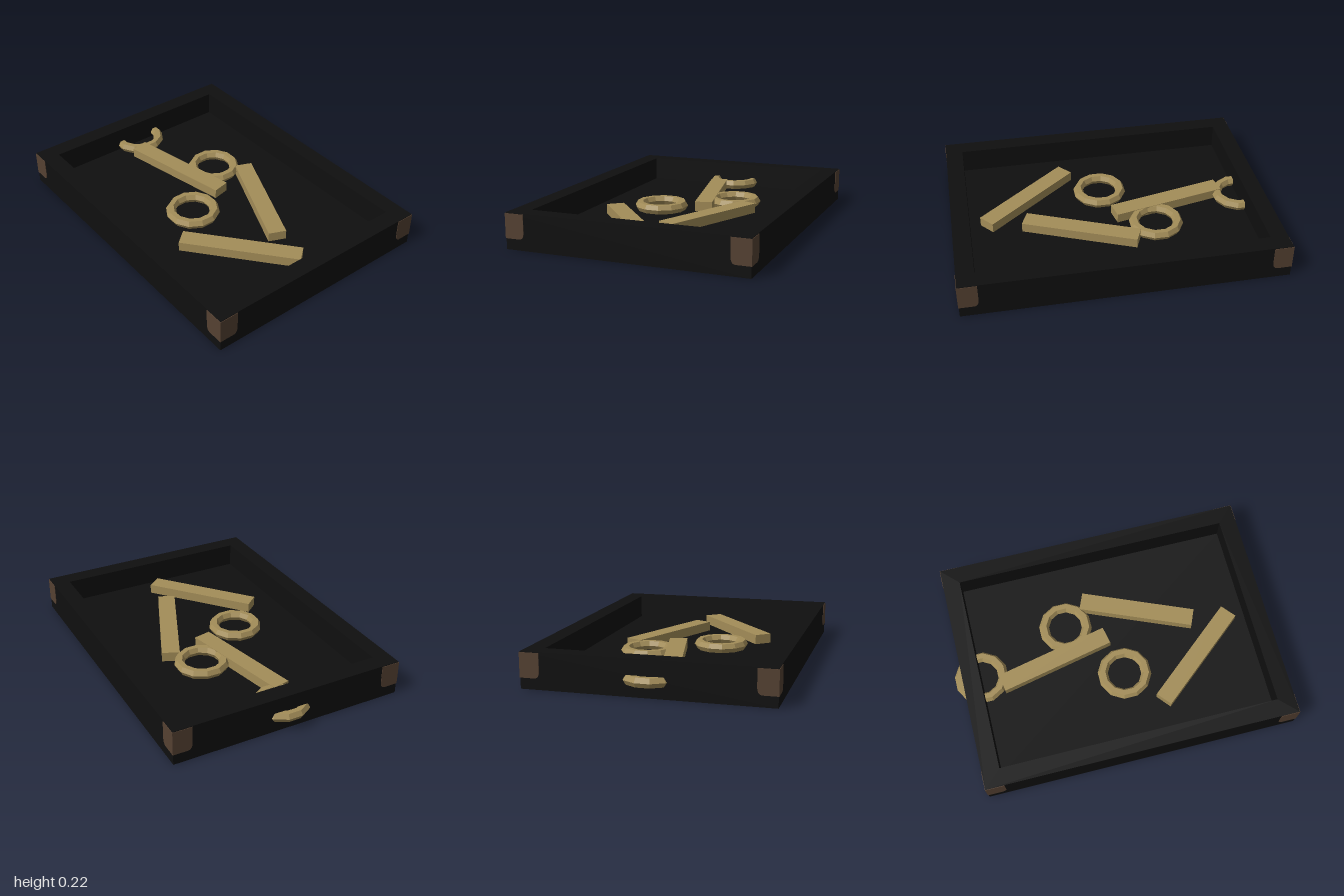
import * as THREE from 'three';

const black = new THREE.MeshStandardMaterial({ name: 'black lacquer', color: 0x0f0f0f });
const brown = new THREE.MeshStandardMaterial({ name: 'brown corner', color: 0x554132 });
const gold = new THREE.MeshStandardMaterial({ name: 'pale gold', color: 0xa38d58, flatShading: true });

const W = 1.95, D = 1.46, H = 0.215;   // tray size
const WALL = 0.11, FLOOR = 0.065;      // wall thickness, floor top
const PLATE = 0.003;                   // corner plate thickness

function add(parent, name, geometry, material, x, y, z) {
  const mesh = new THREE.Mesh(geometry, material);
  mesh.name = name;
  mesh.position.set(x, y, z);
  parent.add(mesh);
  return mesh;
}

// Open tray: one extruded rim with a rectangular hole, plus a floor
function makeTray() {
  const tray = new THREE.Group();
  tray.name = 'tray';
  const w = W / 2 - PLATE, d = D / 2 - PLATE, iw = W / 2 - WALL, id = D / 2 - WALL;
  const rect = (a, b) => [[-a, -b], [a, -b], [a, b], [-a, b]].map(([x, y]) => new THREE.Vector2(x, y));
  const outline = new THREE.Shape(rect(w, d));
  outline.holes.push(new THREE.Path(rect(iw, id).reverse()));
  const rim = new THREE.ExtrudeGeometry(outline, { depth: H, bevelEnabled: false });
  rim.rotateX(-Math.PI / 2);
  add(tray, 'rim', rim, black, 0, 0, 0);
  add(tray, 'floor', new THREE.BoxGeometry(iw * 2, FLOOR, id * 2), black, 0, FLOOR / 2, 0);

  // Corner plates, two on each outer face, rounded at the lower inner corner
  for (let i = 0; i < 4; i++) {
    const half = i % 2 ? D / 2 : W / 2;
    const dist = i % 2 ? W / 2 : D / 2;
    const face = new THREE.Group();
    face.name = 'cornerPlates';
    face.rotation.y = i * Math.PI / 2;
    for (const s of [-1, 1]) {
      const pw = 0.117, top = H - 0.004, low = 0.065, r = 0.03;
      const shape = new THREE.Shape();
      shape.moveTo(s * half, top);
      shape.lineTo(s * (half - pw), top);
      shape.lineTo(s * (half - pw), low + r * 1.5);
      shape.quadraticCurveTo(s * (half - pw), low, s * (half - pw + r), low);
      shape.lineTo(s * half, low);
      shape.closePath();
      const plate = new THREE.ExtrudeGeometry(shape, { depth: PLATE, bevelEnabled: false });
      add(face, 'cornerPlate', plate, brown, 0, 0, dist - PLATE);
    }
    tray.add(face);
  }
  tray.position.x = 0.025;
  return tray;
}

export function createModel() {
  const model = new THREE.Group();
  model.name = 'trayWithPieces';
  model.add(makeTray());

  // Loose bars: x, z, turn in degrees
  const bar = new THREE.BoxGeometry(0.725, 0.06, 0.11);
  for (const [x, z, turn] of [[0.22, -0.2, -23], [-0.365, 0, 12], [0.51, 0.19, 40]]) {
    add(model, 'bar', bar, gold, x, FLOOR + 0.03, z).rotation.y = THREE.MathUtils.degToRad(turn);
  }

  // Loose six-sided rings; one is pushed through the left-hand wall
  const ring = new THREE.TorusGeometry(0.137, 0.032, 6, 12);
  ring.rotateX(-Math.PI / 2);
  ring.rotateY(Math.PI / 12);
  for (const [x, z] of [[-0.837, 0], [-0.25, -0.2], [0.04, 0.19]]) {
    add(model, 'ring', ring, gold, x, FLOOR + 0.03, z);
  }
  return model;
}
